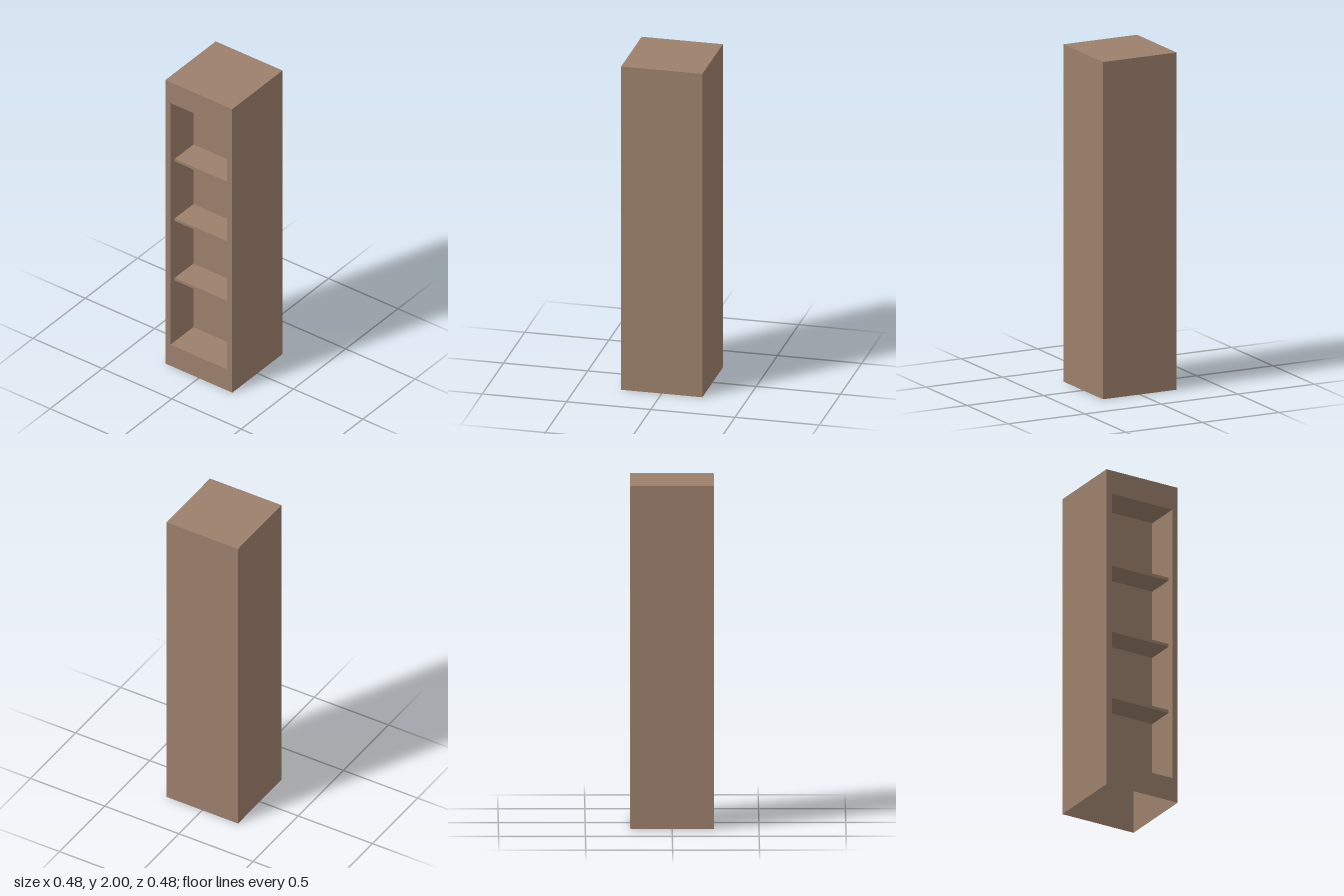
import * as THREE from 'three';

export function createModel() {
  const model = new THREE.Group();
  model.name = 'tallShelfCabinet';
  const wood = new THREE.MeshStandardMaterial({ color: 0x9c806c, side: THREE.DoubleSide });
  wood.name = 'brownWood';

  const H = 2, R = 0.241;               // outer height and half width
  const holeZ = 0.205;                  // half width of the opening
  const y0 = 0.148, y1 = 1.853;         // opening bottom and top
  const backX = -0.021;                 // back of the shelf niche
  const depth = backX + R, midX = (backX - R) / 2, midY = (y0 + y1) / 2;

  const add = (name, geometry, parent) => {
    const mesh = new THREE.Mesh(geometry, wood);
    mesh.name = name;
    parent.add(mesh);
    return mesh;
  };
  // Thin sheet, turned about x or y and moved into place
  const sheet = (name, w, h, rx, ry, x, y, z, parent) =>
    add(name, new THREE.PlaneGeometry(w, h).rotateX(rx).rotateY(ry).translate(x, y, z), parent);

  // Outer shell, open underneath
  const shell = new THREE.Group();
  shell.name = 'shell';
  model.add(shell);
  sheet('frontPanel', 2 * R, H, 0, 0, 0, H / 2, R, shell);
  sheet('backPanel', 2 * R, H, 0, Math.PI, 0, H / 2, -R, shell);
  sheet('leftPanel', 2 * R, H, 0, Math.PI / 2, R, H / 2, 0, shell);
  sheet('topPanel', 2 * R, 2 * R, -Math.PI / 2, 0, 0, H, 0, shell);

  // Frame around the opening on the model's right side
  const rect = (target, a, bottom, top) => target
    .moveTo(-a, bottom).lineTo(a, bottom).lineTo(a, top).lineTo(-a, top).closePath();
  const frame = rect(new THREE.Shape(), R, 0, H);
  frame.holes.push(rect(new THREE.Path(), holeZ, y0, y1));
  add('openingFrame', new THREE.ShapeGeometry(frame).rotateY(-Math.PI / 2).translate(-R, 0, 0), shell);

  // Niche lining
  const niche = new THREE.Group();
  niche.name = 'niche';
  model.add(niche);
  sheet('nicheBack', 2 * holeZ, y1 - y0, 0, -Math.PI / 2, backX, midY, 0, niche);
  sheet('nicheFloor', depth, 2 * holeZ, -Math.PI / 2, 0, midX, y0, 0, niche);
  sheet('nicheCeiling', depth, 2 * holeZ, Math.PI / 2, 0, midX, y1, 0, niche);
  for (const s of [-1, 1]) {
    sheet('nicheSide', depth, y1 - y0, 0, s > 0 ? Math.PI : 0, midX, midY, s * holeZ, niche);
  }

  // Three shelves, set back from the opening
  const shelfFront = -0.2, thick = 0.018;
  for (let i = 0; i < 3; i++) {
    add('shelf', new THREE.BoxGeometry(backX - shelfFront, thick, 2 * holeZ), niche)
      .position.set((backX + shelfFront) / 2, 0.587 + i * 0.42, 0);
  }
  return model;
}
